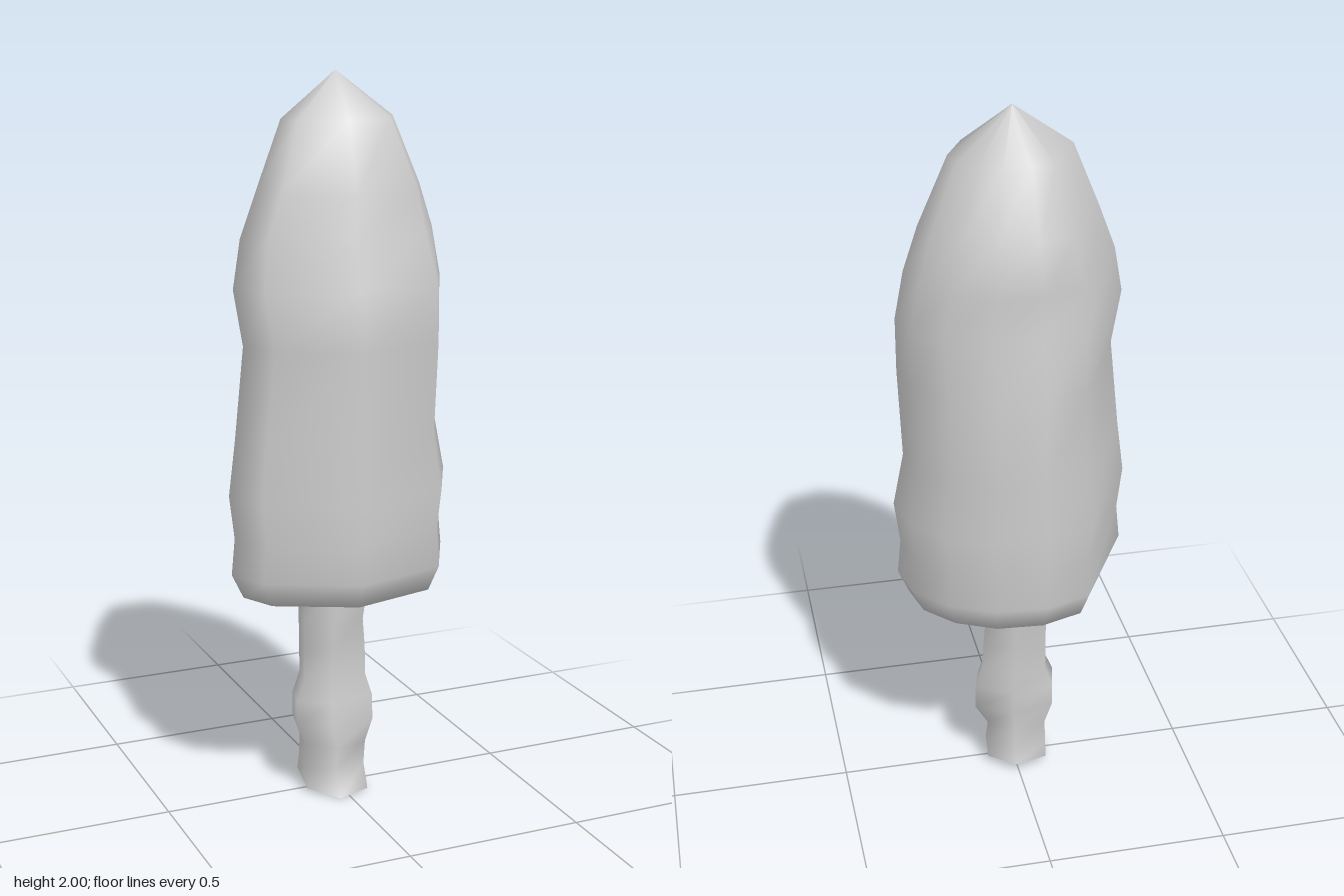
import * as THREE from 'three';

// Skins a stack of rings from bottom to top. Each ring is [y, left, right, front, back],
// the reach of the outline on each side; a ring of zeros closes an end.
// A ring listed twice makes a sharp edge.
function loft(outline, rings, tilt = () => 0) {
  const n = outline.length, pos = [], index = [];
  rings.forEach(([y, left, right, front, back]) => {
    for (const [x, z] of outline) {
      const px = x * (x < 0 ? left : right), pz = z * (z < 0 ? back : front);
      pos.push(px, y + tilt(y, pz), pz);
    }
  });
  for (let i = 0; i < rings.length - 1; i++) {
    if (rings[i] === rings[i + 1]) continue;
    for (let j = 0; j < n; j++) {
      const k = (j + 1) % n;
      const a = i * n + j, b = i * n + k, c = a + n, d = b + n;
      if (rings[i][1] > 0) index.push(a, b, d);
      if (rings[i + 1][1] > 0) index.push(a, d, c);
      else if (rings[i][1] > 0) index.push(a, d, c);
    }
  }
  const g = new THREE.BufferGeometry();
  g.setAttribute('position', new THREE.Float32BufferAttribute(pos, 3));
  g.setIndex(index);
  g.computeVertexNormals();
  return g;
}

export function createModel() {
  const group = new THREE.Group();
  const material = new THREE.MeshStandardMaterial({ color: 0xcccccc, side: THREE.DoubleSide });
  const add = (name, geometry) => {
    const mesh = new THREE.Mesh(geometry, material);
    mesh.name = name;
    group.add(mesh);
  };

  // Uneven ten-sided crown, flattest on its back right side
  const crownOutline = [
    [1, 0], [0.92, -0.42], [0.67, -0.75], [0.31, -0.96], [-0.12, -1],
    [-0.51, -0.85], [-1, 0.2], [-0.84, 0.59], [-0.12, 1], [0.67, 0.75],
  ];
  add('crown', loft(crownOutline, [
    [0.57, 0, 0, 0, 0],
    [0.57, 0.1, 0.1, 0.07, 0.09],
    [0.61, 0.29, 0.295, 0.245, 0.245],
    [0.68, 0.325, 0.325, 0.275, 0.27],
    [0.78, 0.315, 0.315, 0.27, 0.26],
    [0.9, 0.33, 0.33, 0.28, 0.28],
    [1.05, 0.31, 0.3, 0.265, 0.255],
    [1.3, 0.285, 0.31, 0.275, 0.275],
    [1.45, 0.31, 0.31, 0.265, 0.21],
    [1.58, 0.285, 0.285, 0.21, 0.24],
    [1.7, 0.24, 0.245, 0.21, 0.195],
    [1.88, 0.165, 0.165, 0.14, 0.14],
    [2, 0, 0, 0, 0],
  ]));

  // Knobbly six-sided trunk with a slanting cut at the foot
  const trunkOutline = [[1, -0.35], [0.1, -1], [-0.85, -0.75], [-1, 0.3], [-0.3, 1], [0.8, 0.75]];
  const foot = [0.015, 0.1, 0.08, 0.11, 0.105];
  add('trunk', loft(trunkOutline, [
    [0.015, 0, 0, 0, 0],
    foot,
    foot,
    [0.07, 0.1, 0.08, 0.072, 0.09],
    [0.14, 0.1, 0.08, 0.085, 0.08],
    [0.2, 0.125, 0.115, 0.07, 0.08],
    [0.27, 0.125, 0.115, 0.065, 0.08],
    [0.33, 0.1, 0.095, 0.05, 0.08],
    [0.42, 0.1, 0.09, 0.055, 0.08],
    [0.5, 0.1, 0.08, 0.06, 0.085],
    [0.6, 0.1, 0.1, 0.06, 0.09],
  ], (y, z) => (y < 0.02 ? -z * 0.136 : 0)));

  return group;
}
